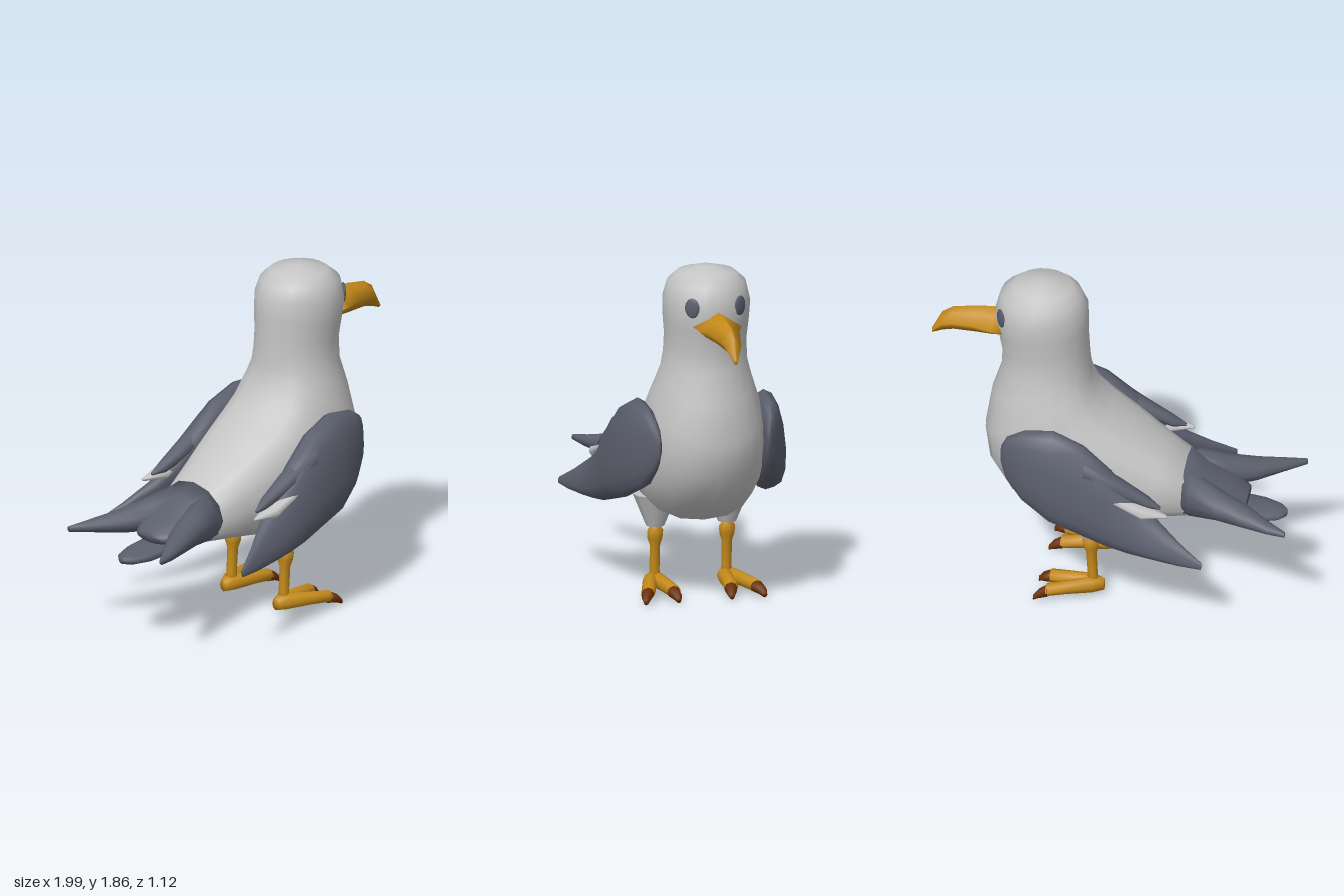
import * as THREE from 'three';

const paint = (name, color) => {
  const m = new THREE.MeshStandardMaterial({ color });
  m.name = name;
  return m;
};

// Closed skin over a list of equally sized rings; winding is turned outward by volume sign.
function loft(rings) {
  const n = rings[0].length, pos = [], idx = [];
  rings.forEach(r => r.forEach(p => pos.push(p.x, p.y, p.z)));
  for (let i = 0; i < rings.length - 1; i++) {
    for (let j = 0; j < n; j++) {
      const a = i * n + j, b = i * n + (j + 1) % n;
      idx.push(a, b, a + n, b, b + n, a + n);
    }
  }
  [0, rings.length - 1].forEach((k, end) => {
    const c = new THREE.Vector3();
    rings[k].forEach(p => c.addScaledVector(p, 1 / n));
    const ci = pos.length / 3;
    pos.push(c.x, c.y, c.z);
    for (let j = 0; j < n; j++) {
      const a = k * n + j, b = k * n + (j + 1) % n;
      if (end) idx.push(ci, a, b); else idx.push(ci, b, a);
    }
  });
  const P = i => new THREE.Vector3().fromArray(pos, i * 3);
  let volume = 0;
  for (let i = 0; i < idx.length; i += 3) volume += P(idx[i]).dot(P(idx[i + 1]).cross(P(idx[i + 2])));
  if (volume < 0) idx.reverse();
  const g = new THREE.BufferGeometry();
  g.setAttribute('position', new THREE.Float32BufferAttribute(pos, 3));
  g.setIndex(idx);
  g.computeVertexNormals();
  return g;
}

// Rounded ring around centre c spanned by half axes u and v; power below 1 makes it boxier.
function ring(c, u, v, sides = 16, power = 1) {
  const bend = t => Math.sign(t) * Math.abs(t) ** power;
  return Array.from({ length: sides }, (_, j) => {
    const a = j / sides * Math.PI * 2;
    return new THREE.Vector3(...c)
      .addScaledVector(new THREE.Vector3(...u), bend(Math.cos(a)))
      .addScaledVector(new THREE.Vector3(...v), bend(Math.sin(a)));
  });
}

// Upright ring at x with centre y, z, half height and half width.
const upright = (x, y, z, h, w, sides = 12) => ring([x, y, z], [0, h, 0], [0, 0, w], sides);

export function createModel() {
  const white = paint('palePlumage', 0xc4c4c4);
  const grey = paint('greyPlumage', 0x5b5f6d);
  const yellow = paint('beakAndLegs', 0xc48a1a);
  const brown = paint('claws', 0x6b3008);
  const model = new THREE.Group();
  model.name = 'seabird';
  const add = (name, geometry, material, parent = model) => {
    const m = new THREE.Mesh(geometry, material);
    m.name = name;
    parent.add(m);
    return m;
  };

  // Body, neck and head: back x, y; front x, y; half width; squareness
  const spine = [
    [-0.46, 0.77, -0.47, 0.5, 0.2, 0.85], [-0.3, 0.88, -0.2, 0.465, 0.26, 0.85],
    [-0.12, 1.02, 0.1, 0.42, 0.31, 0.8], [0, 1.11, 0.35, 0.45, 0.335, 0.8],
    [0.07, 1.19, 0.55, 0.58, 0.33, 0.85], [0.1, 1.26, 0.66, 0.75, 0.315, 0.9],
    [0.115, 1.31, 0.69, 0.93, 0.29, 0.95], [0.12, 1.36, 0.655, 1.15, 0.25, 1],
    [0.125, 1.43, 0.605, 1.31, 0.225, 1], [0.13, 1.52, 0.6, 1.43, 0.22, 1],
    [0.13, 1.62, 0.62, 1.54, 0.23, 1], [0.135, 1.72, 0.64, 1.66, 0.235, 1],
    [0.17, 1.79, 0.61, 1.78, 0.212, 1], [0.22, 1.835, 0.54, 1.838, 0.155, 1],
    [0.33, 1.865, 0.43, 1.865, 0.05, 1],
  ];
  add('body', loft(spine.map(([bx, by, fx, fy, w, p]) =>
    ring([(bx + fx) / 2, (by + fy) / 2, 0], [(fx - bx) / 2, (fy - by) / 2, 0], [0, 0, w], 20, p))), white);

  // Tail: common root, a low middle feather and a fork
  add('tailRoot', loft([
    upright(-0.41, 0.655, 0, 0.163, 0.225), upright(-0.5, 0.625, 0, 0.13, 0.228),
    upright(-0.62, 0.605, 0, 0.08, 0.2), upright(-0.74, 0.59, 0, 0.03, 0.1),
  ]), grey);
  add('middleTailFeather', loft([
    upright(-0.45, 0.56, 0, 0.06, 0.1), upright(-0.65, 0.53, 0, 0.045, 0.11),
    upright(-0.82, 0.515, 0, 0.035, 0.105), upright(-0.91, 0.51, 0, 0.028, 0.07),
    upright(-0.95, 0.51, 0, 0.018, 0.025),
  ]), grey);

  // Beak: x, top, bottom, widest height, half width
  const beak = [
    [0.57, 1.65, 1.51, 1.575, 0.13], [0.64, 1.663, 1.485, 1.58, 0.125],
    [0.75, 1.655, 1.485, 1.575, 0.085], [0.87, 1.635, 1.488, 1.56, 0.058],
    [0.93, 1.595, 1.475, 1.535, 0.042], [0.985, 1.485, 1.453, 1.468, 0.012],
  ];
  add('beak', loft(beak.map(([x, t, b, m, w]) => [
    [t, 0], [t * 0.6 + m * 0.4, w * 0.4], [m, w], [(m + b) / 2, w * 0.6],
    [b, 0], [(m + b) / 2, -w * 0.6], [m, -w], [t * 0.6 + m * 0.4, -w * 0.4],
  ].map(([y, z]) => new THREE.Vector3(x, y, z)))), yellow);

  // Wing: x, top y, bottom y, top z, bottom z, half thickness
  const wing = [
    [0.555, 0.97, 0.86, 0.305, 0.305, 0.012], [0.52, 1.045, 0.77, 0.32, 0.325, 0.035],
    [0.43, 1.105, 0.67, 0.34, 0.355, 0.07], [0.27, 1.13, 0.585, 0.35, 0.41, 0.092],
    [0.1, 1.06, 0.535, 0.36, 0.43, 0.092], [-0.05, 0.93, 0.492, 0.375, 0.45, 0.085],
    [-0.18, 0.79, 0.475, 0.385, 0.475, 0.07], [-0.3, 0.685, 0.465, 0.42, 0.495, 0.05],
    [-0.45, 0.58, 0.46, 0.49, 0.525, 0.028], [-0.58, 0.505, 0.466, 0.545, 0.55, 0.01],
  ];

  for (const s of [1, -1]) {
    const side = s > 0 ? 'near' : 'far';

    add(side + 'Wing', loft(wing.map(([x, t, b, zt, zb, h]) =>
      ring([x, (t + b) / 2, s * (zt + zb) / 2], [0, (t - b) / 2, s * (zt - zb) / 2], [0, 0, s * h], 14, 0.9))), grey);
    add(side + 'WingUpperFeather', loft([
      upright(0.08, 0.93, s * 0.4, 0.07, 0.06, 8), upright(-0.1, 0.835, s * 0.385, 0.055, 0.055, 8),
      upright(-0.26, 0.76, s * 0.39, 0.033, 0.035, 8), upright(-0.33, 0.735, s * 0.4, 0.008, 0.01, 8),
    ]), grey);
    add(side + 'WingPaleFeather', loft([
      upright(0.02, 0.825, s * 0.425, 0.008, 0.04, 8), upright(-0.1, 0.775, s * 0.42, 0.025, 0.052, 8),
      upright(-0.24, 0.715, s * 0.42, 0.035, 0.06, 8), upright(-0.37, 0.705, s * 0.43, 0.008, 0.01, 8),
    ]), white);

    add(side + 'TailFeather', loft([
      upright(-0.44, 0.65, s * 0.11, 0.125, 0.115), upright(-0.6, 0.635, s * 0.165, 0.085, 0.095),
      upright(-0.75, 0.62, s * 0.225, 0.06, 0.08), upright(-0.9, 0.612, s * 0.305, 0.032, 0.045),
      upright(-1, 0.61, s * 0.352, 0.016, 0.014),
    ]), grey);

    // Eye disc set flush on the head
    const eye = add(side + 'Eye', new THREE.SphereGeometry(1, 14, 8), grey);
    eye.scale.set(0.042, 0.055, 0.012);
    eye.position.set(0.587, 1.682, s * 0.133);
    eye.rotation.y = s > 0 ? 0.95 : Math.PI - 0.95;

    // Leg with feathered thigh, knobbly joint and two clawed toes
    const leg = new THREE.Group();
    leg.name = side + 'Leg';
    leg.position.z = s * 0.2;
    model.add(leg);
    add('thigh', new THREE.CylinderGeometry(0.125, 0.05, 0.18, 12), white, leg).position.set(0.085, 0.46, 0);
    const shin = [[0.02, 0.38], [0.045, 0.34], [0.042, 0.3], [0.029, 0.26], [0.028, 0.12], [0.036, 0.06]];
    add('shin', loft(shin.map(([r, y]) =>
      ring([0.065 + y * 0.06, y, 0], [r, 0, 0], [0, 0, r], 8))), yellow, leg);
    for (const [name, z] of [['innerToe', -0.04], ['outerToe', 0.1]]) {
      add(name, loft([
        upright(0.01, 0.06, 0, 0.035, 0.025, 8), upright(0.07, 0.065, s * z * 0.2, 0.045, 0.045, 8),
        upright(0.2, 0.062, s * z * 0.65, 0.038, 0.04, 8), upright(0.31, 0.055, s * z, 0.034, 0.04, 8),
      ]), yellow, leg);
      add(name + 'Claw', loft([
        upright(0.3, 0.053, s * z, 0.036, 0.038, 8), upright(0.35, 0.038, s * z * 1.2, 0.025, 0.028, 8),
        upright(0.375, 0.018, s * z * 1.3, 0.015, 0.014, 8),
      ]), brown, leg);
    }
  }

  // Stand on the ground
  model.position.y = -new THREE.Box3().setFromObject(model).min.y;
  return model;
}
